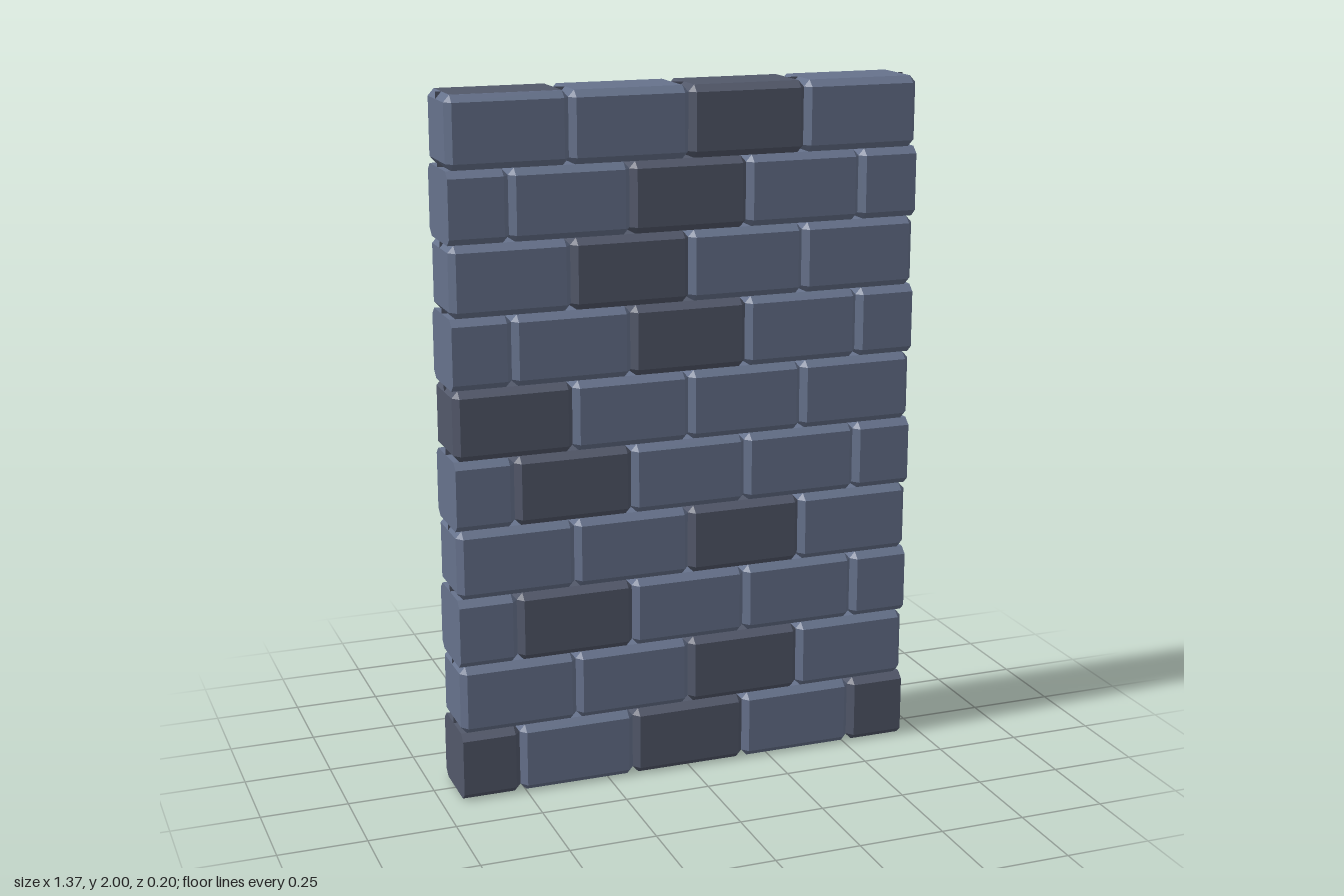
import * as THREE from 'three';
import { ConvexGeometry } from 'three/addons/geometries/ConvexGeometry.js';

const HALF_WIDTH = 0.686, HALF_DEPTH = 0.102, ROW = 0.2, BRICK = 0.343;
const BEVEL = { x: 0.017, y: 0.019, z: 0.021 };
const light = new THREE.MeshStandardMaterial({ color: 0x66728c });
const dark = new THREE.MeshStandardMaterial({ color: 0x52586a });
const mortar = new THREE.MeshStandardMaterial({ color: 0x52586a, side: THREE.DoubleSide });

// Chamfered block from x0 to x1; an end flagged as cut stays flat
function brickGeometry(x0, x1, cutLeft, cutRight) {
  const hx = (x1 - x0) / 2, hy = ROW / 2, hz = HALF_DEPTH;
  const { x: bx, y: by, z: bz } = BEVEL;
  const points = [];
  for (const sx of [-1, 1]) {
    const cut = sx < 0 ? cutLeft : cutRight;
    const inset = cut ? hx : hx - bx;
    for (const sy of [-1, 1]) {
      for (const sz of [-1, 1]) {
        points.push(new THREE.Vector3(sx * inset, sy * hy, sz * (hz - bz)));
        points.push(new THREE.Vector3(sx * inset, sy * (hy - by), sz * hz));
        if (!cut) points.push(new THREE.Vector3(sx * hx, sy * (hy - by), sz * (hz - bz)));
      }
    }
  }
  return new ConvexGeometry(points);
}

// Index of the darker bricks in each course, from the bottom up
const DARK = [[0, 2, 4], [2], [1], [2], [1], [0], [2], [1], [2], [2]];

export function createModel() {
  const wall = new THREE.Group();
  wall.name = 'brickWall';

  // Courses in running bond: whole bricks alternate with half bricks at the ends
  DARK.forEach((darkBricks, row) => {
    const course = new THREE.Group();
    course.name = `course${row + 1}`;
    course.position.y = (row + 0.5) * ROW;
    const halves = row % 2 === 0;
    const edges = halves
      ? [-HALF_WIDTH, -1.5 * BRICK, -0.5 * BRICK, 0.5 * BRICK, 1.5 * BRICK, HALF_WIDTH]
      : [-2, -1, 0, 1, 2].map((i) => i * BRICK);
    for (let i = 0; i < edges.length - 1; i++) {
      const geometry = brickGeometry(edges[i], edges[i + 1], halves && i === 0, halves && i === edges.length - 2);
      const brick = new THREE.Mesh(geometry, darkBricks.includes(i) ? dark : light);
      brick.name = halves && (i === 0 || i === edges.length - 2) ? 'halfBrick' : 'brick';
      brick.position.x = (edges[i] + edges[i + 1]) / 2;
      course.add(brick);
    }
    wall.add(course);
  });

  // Thin mortar sheet that closes the joints
  const core = new THREE.Mesh(new THREE.PlaneGeometry(2 * HALF_WIDTH, 2), mortar);
  core.name = 'mortarSheet';
  core.position.y = 1;
  wall.add(core);

  // Single dark faces: one brick top and one brick end
  const depth = 2 * (HALF_DEPTH - BEVEL.z);
  const topFace = new THREE.Mesh(new THREE.PlaneGeometry(BRICK - 2 * BEVEL.x, depth), dark);
  topFace.name = 'darkTopFace';
  topFace.rotation.x = -Math.PI / 2;
  topFace.position.set(-1.5 * BRICK, 2.0005, 0);
  const endFace = new THREE.Mesh(new THREE.PlaneGeometry(depth, ROW - 2 * BEVEL.y), dark);
  endFace.name = 'darkEndFace';
  endFace.rotation.y = Math.PI / 2;
  endFace.position.set(HALF_WIDTH + 0.0005, 3.5 * ROW, 0);
  wall.add(topFace, endFace);

  return wall;
}
